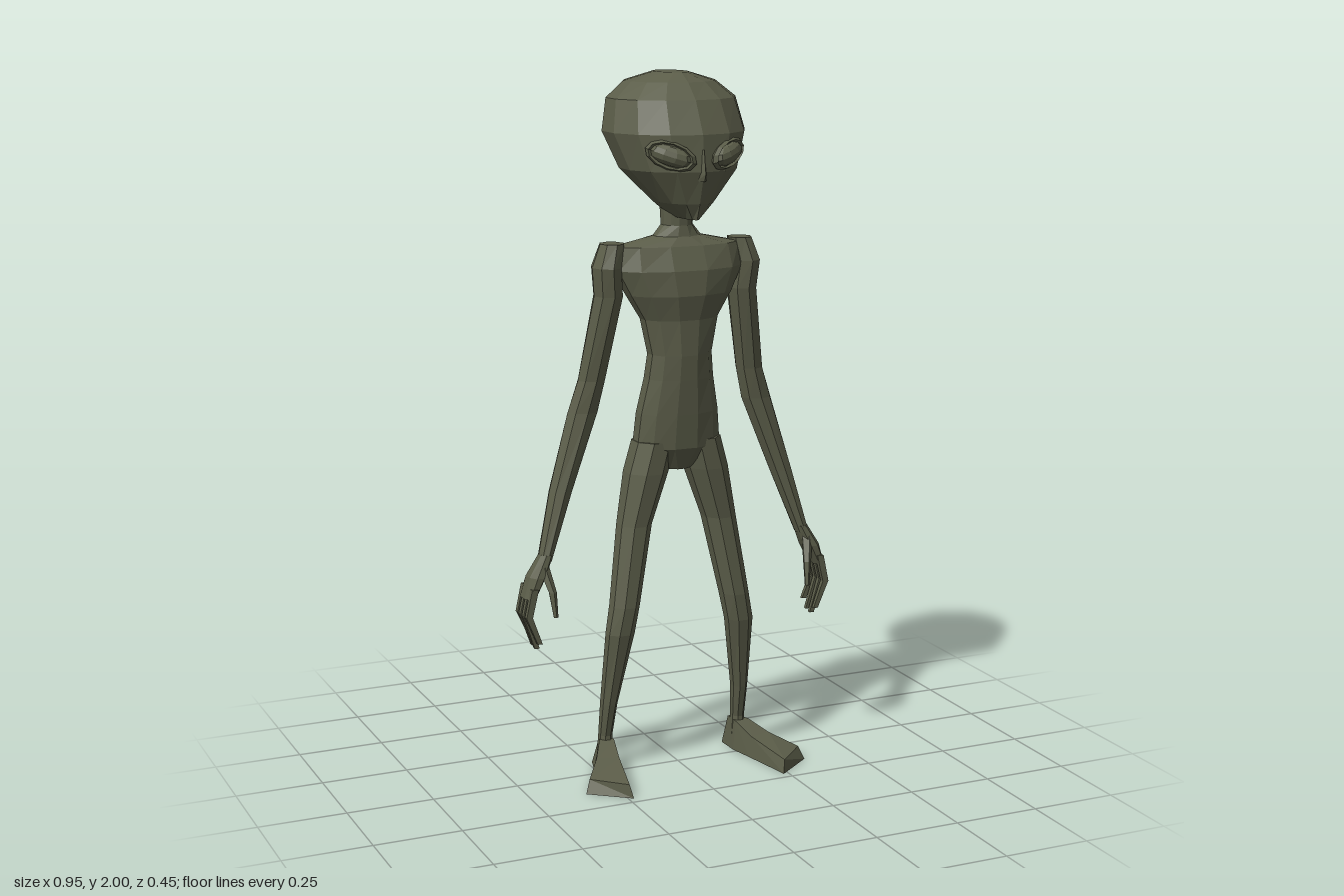
import * as THREE from 'three';

const skin = new THREE.MeshStandardMaterial({ color: 0x5b5d49, flatShading: true });
skin.name = 'olive skin';

// Skin over a list of equal-length sections, each counterclockwise about the direction of travel
function loft(name, sections) {
  const n = sections[0].length, pos = [];
  const tri = (a, b, c) => pos.push(...a, ...b, ...c);
  for (let i = 0; i < sections.length - 1; i++) {
    const p = sections[i], q = sections[i + 1];
    for (let j = 0; j < n; j++) {
      const k = (j + 1) % n;
      tri(p[j], p[k], q[k]);
      tri(p[j], q[k], q[j]);
    }
  }
  const first = sections[0], last = sections[sections.length - 1];
  for (let j = 1; j < n - 1; j++) {
    tri(first[0], first[j + 1], first[j]);
    tri(last[0], last[j], last[j + 1]);
  }
  const g = new THREE.BufferGeometry();
  g.setAttribute('position', new THREE.Float32BufferAttribute(pos, 3));
  g.computeVertexNormals();
  const mesh = new THREE.Mesh(g, skin);
  mesh.name = name;
  return mesh;
}

// Level rings from bottom to top: [y, centre x, half width, front z, back z]
function body(name, rings, sides, s = 1, turn = 0) {
  return loft(name, rings.map(([y, x, w, zf, zb]) =>
    Array.from({ length: sides }, (_, i) => {
      const a = ((i + turn) / sides) * Math.PI * 2;
      return [s * x + w * Math.sin(a), y, (zf + zb) / 2 + ((zf - zb) / 2) * Math.cos(a)];
    })));
}

function side(s) {
  const g = new THREE.Group();
  g.name = s > 0 ? 'leftSide' : 'rightSide';

  // Arm from wrist to shoulder
  g.add(body('arm', [
    [0.65, 0.405, 0.02, 0.015, -0.04],
    [0.84, 0.345, 0.034, 0.0, -0.075],
    [1.06, 0.27, 0.046, -0.01, -0.09],
    [1.15, 0.245, 0.041, -0.005, -0.085],
    [1.39, 0.205, 0.042, 0.035, -0.065],
    [1.47, 0.212, 0.042, 0.045, -0.065],
    [1.535, 0.195, 0.035, 0.03, -0.05],
  ], 8, s));

  // Palm, four fingers and thumb
  g.add(body('palm', [
    [0.55, 0.455, 0.018, 0.03, -0.06],
    [0.61, 0.43, 0.027, 0.03, -0.055],
    [0.67, 0.4, 0.02, 0.015, -0.04],
  ], 8, s, 0.5));
  for (let i = 0; i < 4; i++) {
    const z = 0.022 - i * 0.025, tip = [0.42, 0.4, 0.405, 0.43][i];
    g.add(body('finger', [
      [tip, 0.435, 0.01, z + 0.008, z - 0.008],
      [0.5, 0.466, 0.013, z + 0.011, z - 0.011],
      [0.58, 0.448, 0.014, z + 0.012, z - 0.012],
    ], 4, s, 0.5));
  }
  g.add(body('thumb', [
    [0.5, 0.395, 0.007, 0.055, 0.04],
    [0.57, 0.4, 0.012, 0.05, 0.022],
    [0.64, 0.415, 0.017, 0.02, -0.015],
  ], 5, s));

  // Leg from ankle to hip
  g.add(body('leg', [
    [0.04, 0.212, 0.024, -0.015, -0.07],
    [0.1, 0.212, 0.02, -0.018, -0.065],
    [0.2, 0.208, 0.024, 0.008, -0.055],
    [0.42, 0.187, 0.042, 0.055, -0.025],
    [0.5, 0.172, 0.043, 0.06, -0.035],
    [0.73, 0.132, 0.05, 0.045, -0.065],
    [0.88, 0.093, 0.064, 0.055, -0.085],
    [0.97, 0.07, 0.062, 0.055, -0.08],
  ], 8, s, 0.5));

  // Splayed wedge foot: [outer x, outer z, inner x, inner z, height, top shift]
  g.add(loft('foot', [
    [0.235, -0.09, 0.185, -0.09, 0.09, 0.025],
    [0.255, -0.02, 0.187, -0.015, 0.088, 0],
    [0.29, 0.045, 0.203, 0.06, 0.062, 0],
    [0.345, 0.14, 0.235, 0.225, 0.038, -0.012],
  ].map(([xo, zo, xi, zi, h, d]) => {
    const p = [[s * xo, 0, zo], [s * (xo - 0.015), h, zo + d], [s * (xi + 0.008), h, zi + d], [s * xi, 0, zi]];
    return s > 0 ? p : p.reverse();
  })));

  // Slanted almond eye inside a raised lid
  const eye = new THREE.Group();
  eye.name = 'eye';
  const ball = new THREE.Mesh(new THREE.SphereGeometry(1, 10, 6), skin);
  ball.name = 'eyeball';
  ball.scale.set(0.06, 0.028, 0.026);
  const lid = new THREE.Mesh(new THREE.TorusGeometry(1, 0.15, 4, 12), skin);
  lid.name = 'eyelid';
  lid.scale.set(0.064, 0.034, 0.07);
  eye.add(ball, lid);
  eye.position.set(s * 0.085, 1.785, 0.145);
  eye.rotation.set(0, s * 0.52, s * 0.3);
  g.add(eye);
  return g;
}

export function createModel() {
  const model = new THREE.Group();
  model.name = 'alienFigure';

  // Large skull tapering to the chin
  model.add(body('head', [
    [1.605, 0, 0.022, 0.13, -0.06],
    [1.65, 0, 0.08, 0.148, -0.095],
    [1.74, 0, 0.165, 0.175, -0.175],
    [1.84, 0, 0.203, 0.168, -0.225],
    [1.93, 0, 0.185, 0.12, -0.215],
    [1.975, 0, 0.13, 0.07, -0.185],
    [2.0, 0, 0.045, 0.025, -0.12],
  ], 14));

  // Small nose ridge
  model.add(body('nose', [
    [1.715, 0, 0.016, 0.178, 0.14],
    [1.735, 0, 0.014, 0.186, 0.14],
    [1.8, 0, 0.008, 0.176, 0.14],
  ], 4));

  // Neck, chest, waist and hips
  model.add(body('torso', [
    [0.885, 0, 0.045, 0.03, -0.06],
    [0.95, 0, 0.132, 0.062, -0.088],
    [1.05, 0, 0.122, 0.072, -0.085],
    [1.15, 0, 0.102, 0.08, -0.07],
    [1.22, 0, 0.094, 0.085, -0.062],
    [1.32, 0, 0.115, 0.085, -0.07],
    [1.39, 0, 0.158, 0.1, -0.09],
    [1.46, 0, 0.195, 0.095, -0.1],
    [1.525, 0, 0.19, 0.065, -0.08],
    [1.55, 0, 0.07, 0.045, -0.06],
    [1.58, 0, 0.045, 0.04, -0.055],
    [1.66, 0, 0.048, 0.045, -0.065],
  ], 12, 1, 0.5));

  model.add(side(1), side(-1));
  return model;
}
